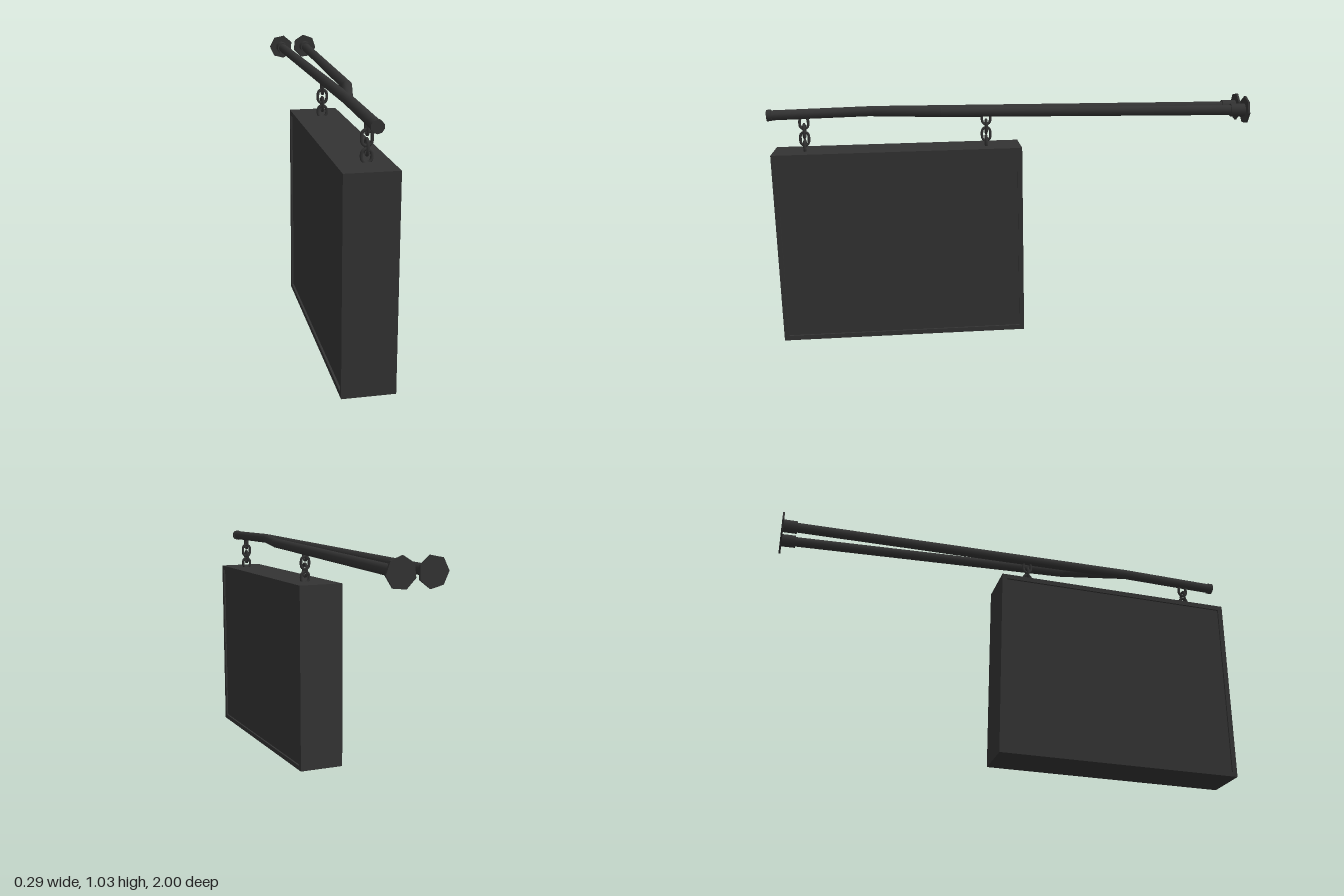
import * as THREE from 'three';

const metal = new THREE.MeshStandardMaterial({ color: 0x333333 });
const V = (x, y, z) => new THREE.Vector3(x, y, z);

function add(parent, name, geometry) {
  const mesh = new THREE.Mesh(geometry, metal);
  mesh.name = name;
  parent.add(mesh);
  return mesh;
}

// Straight round bar between two points
function rod(parent, name, a, b, radius, sides = 10) {
  const mesh = add(parent, name, new THREE.CylinderGeometry(radius, radius, a.distanceTo(b), sides));
  mesh.position.copy(a).add(b).multiplyScalar(0.5);
  mesh.quaternion.setFromUnitVectors(V(0, 1, 0), b.clone().sub(a).normalize());
  return mesh;
}

// Bent pipe with rounded joints, a wall flange and a collar at its first point
function pipe(name, points, radius, flangeTurn) {
  const group = new THREE.Group();
  group.name = name;
  for (let i = 1; i < points.length; i++) {
    rod(group, 'pipeSection', points[i - 1], points[i], radius);
    if (i < points.length - 1) {
      add(group, 'pipeJoint', new THREE.SphereGeometry(radius, 10, 8)).position.copy(points[i]);
    }
  }
  const start = points[0];
  const dir = points[1].clone().sub(start).normalize();
  rod(group, 'collar', start, start.clone().addScaledVector(dir, 0.065), radius + 0.006);
  const plate = new THREE.CylinderGeometry(0.058, 0.058, 0.008, 7).toNonIndexed();
  plate.computeVertexNormals();
  plate.rotateY(flangeTurn).rotateX(Math.PI / 2);
  add(group, 'wallFlange', plate).position.set(start.x, start.y, -0.992);
  return group;
}

// Oval chain link standing upright; wide along x, or along z when turned
function link(parent, y, height, width, turned) {
  const r = width / 2, h = height / 2 - r;
  const points = [];
  for (let i = 0; i < 12; i++) {
    const a = ((i + 0.5) / 12) * Math.PI * 2;
    points.push(V(Math.cos(a) * r, Math.sin(a) * r + Math.sign(Math.sin(a)) * h, 0));
  }
  const curve = new THREE.CatmullRomCurve3(points, true);
  const mesh = add(parent, 'chainLink', new THREE.TubeGeometry(curve, 24, 0.006, 6, true));
  mesh.position.y = y;
  if (turned) mesh.rotation.y = Math.PI / 2;
}

function chain(z, drop) {
  const group = new THREE.Group();
  group.name = 'chain';
  group.position.set(-0.033, drop, z);
  link(group, 0.935, 0.05, 0.034, true);
  link(group, 0.9, 0.056, 0.036, false);
  link(group, 0.868, 0.056, 0.034, true);
  link(group, 0.837, 0.048, 0.036, false);
  return group;
}

// Deep sign box: a rectangular surround with a recessed panel on each side
function signBox() {
  const group = new THREE.Group();
  group.name = 'signBox';
  const length = 1.038, height = 0.81, depth = 0.198, rim = 0.02;
  const rect = (path, l, h) => {
    path.moveTo(-l / 2, -h / 2);
    path.lineTo(l / 2, -h / 2);
    path.lineTo(l / 2, h / 2);
    path.lineTo(-l / 2, h / 2);
    path.closePath();
    return path;
  };
  const shape = rect(new THREE.Shape(), length, height);
  shape.holes.push(rect(new THREE.Path(), length - rim * 2, height - rim * 2));
  const frame = new THREE.ExtrudeGeometry(shape, { depth, bevelEnabled: false });
  frame.translate(0, 0, -depth / 2).rotateY(Math.PI / 2);
  add(group, 'frame', frame);
  add(group, 'sidePanels', new THREE.BoxGeometry(depth - 0.016, height - rim * 2, length - rim * 2));
  group.position.set(-0.046, 0.4125, 0.458);
  group.rotation.x = 0.0145;
  return group;
}

export function createModel() {
  const model = new THREE.Group();
  model.name = 'hangingSign';

  // Long bar that carries the sign, drooping slightly at its free end
  const tip = V(-0.035, 0.963, 0.998);
  const main = pipe('mainPipe', [V(-0.033, 0.976, -0.995), V(-0.035, 0.976, 0.56), tip], 0.021, 0.2);
  rod(main, 'endCap', V(-0.035, 0.9635, 0.98), V(-0.035, 0.963, 1), 0.024);
  model.add(main);

  // Brace that runs beside the bar and bends in to meet it
  model.add(pipe('bracePipe',
    [V(0.089, 0.977, -0.995), V(0.027, 0.977, 0.28), V(-0.034, 0.975, 0.56)], 0.021, 0.55));

  model.add(chain(0.85, -0.004), chain(0.09, 0.004));
  model.add(signBox());
  return model;
}
